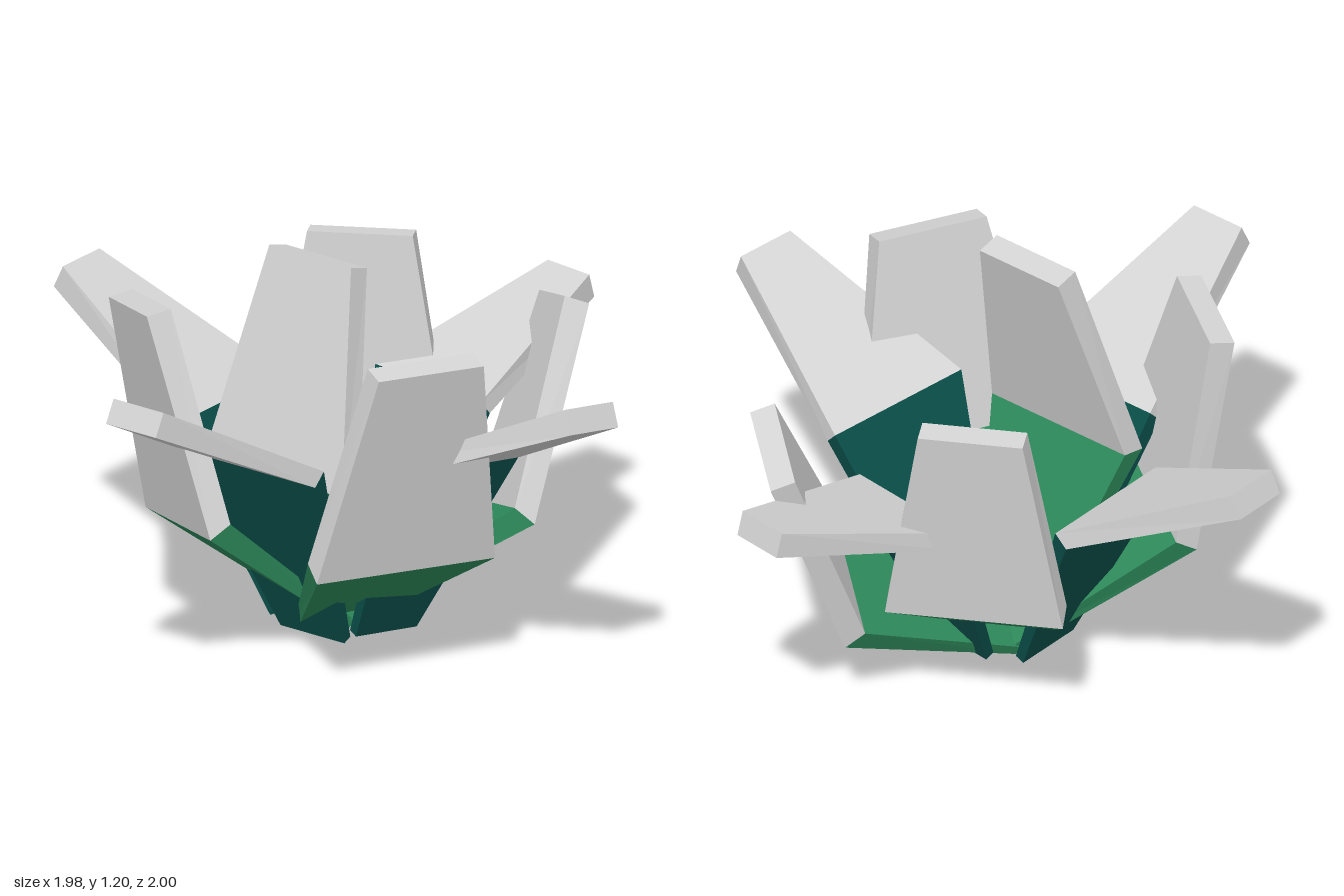
import * as THREE from 'three';

const mat = (name, color) => {
  const m = new THREE.MeshStandardMaterial({ color });
  m.name = name;
  return m;
};
const V = (a) => new THREE.Vector3(...a);

// Four-cornered section: outer left, outer right, inner right, inner left
function section(center, half, inward, thickness) {
  const l = center.clone().sub(half), r = center.clone().add(half);
  const t = inward.clone().multiplyScalar(thickness);
  return [l, r, r.clone().add(t), l.clone().add(t)];
}

// Closed, flat-sided slab between two sections
function slab(low, high, name, material) {
  const pts = [];
  const quad = (a, b, c, d) => pts.push(a, b, c, a, c, d);
  for (let i = 0; i < 4; i++) {
    const j = (i + 1) % 4;
    quad(low[i], low[j], high[j], high[i]);
  }
  quad(...high);
  quad(low[3], low[2], low[1], low[0]);
  const geometry = new THREE.BufferGeometry().setFromPoints(pts);
  geometry.computeVertexNormals();
  const mesh = new THREE.Mesh(geometry, material);
  mesh.name = name;
  return mesh;
}

// Bent petal: a coloured lower slab and a pale upper slab.
// base, bend and tip are points on the outer face; half runs to its right edge at the bend.
function petal(p, style, tipMaterial) {
  const base = V(p.base ?? style.base), bend = V(p.bend), tip = V(p.tip), half = V(p.half);
  const normal = (from, to) => to.clone().sub(from).cross(half).normalize();
  const nLow = normal(base, bend), nHigh = normal(bend, tip);
  const nMid = nLow.clone().add(nHigh).normalize();
  const s0 = section(base, half.clone().multiplyScalar(style.baseRatio), nLow, 0.03);
  const s1 = section(bend, half, nMid, style.bendThickness);
  const s2 = section(tip, half.clone().multiplyScalar(style.tipRatio), nHigh, 0.075);
  const group = new THREE.Group();
  group.name = style.name;
  group.add(slab(s0, s1, 'petalBase', style.material), slab(s1, s2, 'petalTip', tipMaterial));
  return group;
}

export function createModel() {
  const model = new THREE.Group();
  model.name = 'flower';
  const pale = mat('paleGrey', 0xd3d3d3);

  // Spreading petals, one to each side
  const spreading = {
    name: 'spreadingPetal', material: mat('deepTeal', 0x0b504b),
    baseRatio: 0.5, tipRatio: 0.39, bendThickness: 0.055,
  };
  [
    { base: [0.03, 0.06, 0.18], bend: [0.025, 0.64, 0.45], tip: [0.03, 0.92, 1.0], half: [0.235, 0, 0] },
    { base: [0.18, 0.06, 0.03], bend: [0.43, 0.615, 0.015], tip: [0.975, 0.87, 0.065], half: [0.04, -0.025, -0.225] },
    { base: [-0.17, 0.06, 0.02], bend: [-0.43, 0.6, 0.02], tip: [-0.985, 0.86, 0.02], half: [0.015, 0, 0.23] },
    { base: [0.02, 0.06, -0.14], bend: [0, 0.61, -0.42], tip: [0.035, 0.77, -0.995], half: [-0.215, 0, -0.025] },
  ].forEach((p) => model.add(petal(p, spreading, pale)));

  // Upright petals in a ring of five, meeting at the bottom
  const upright = {
    name: 'uprightPetal', material: mat('leafGreen', 0x2e8b5c), base: [0, 0.05, 0.04],
    baseRatio: 0.42, tipRatio: 0.59, bendThickness: 0.075,
  };
  [
    { bend: [0.03, 0.59, 0.36], tip: [0.03, 1.215, 0.19], half: [0.255, 0, 0] },
    { bend: [-0.245, 0.41, 0.45], tip: [-0.385, 1.055, 0.505], half: [0.225, 0.04, 0.13] },
    { bend: [0.46, 0.385, 0.285], tip: [0.59, 1.03, 0.33], half: [0.12, -0.005, -0.255] },
    { bend: [0.28, 0.295, -0.42], tip: [0.265, 0.87, -0.725], half: [-0.2, -0.075, -0.148] },
    { bend: [-0.28, 0.39, -0.42], tip: [-0.32, 1.025, -0.48], half: [-0.22, 0, 0.135] },
  ].forEach((p) => model.add(petal(p, upright, pale)));

  return model;
}
